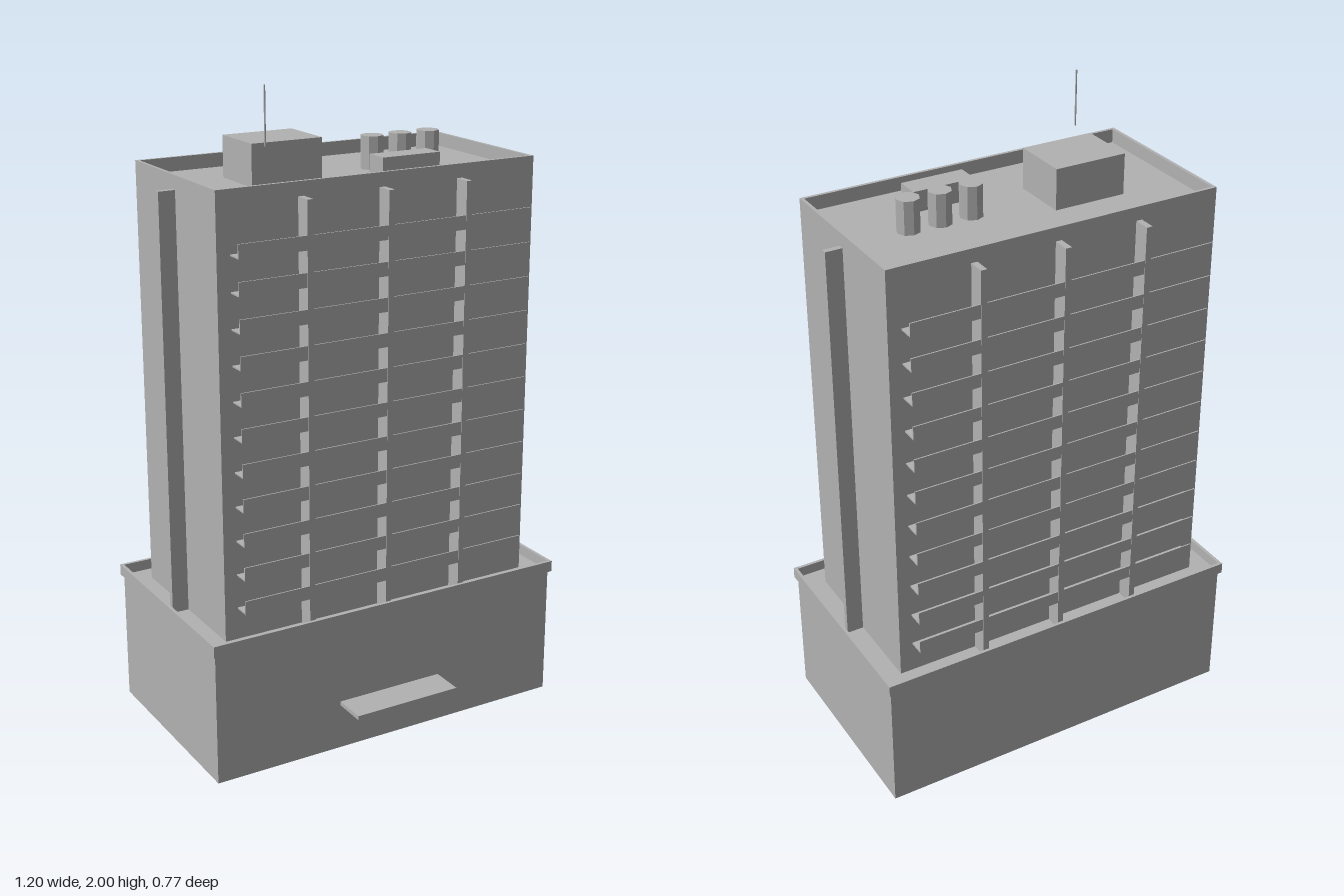
import * as THREE from 'three';

export function createModel() {
  const model = new THREE.Group();
  model.name = 'towerBlock';

  const concrete = new THREE.MeshStandardMaterial({ color: 0xb2b2b2, side: THREE.DoubleSide });
  concrete.name = 'concrete grey';

  const CZ = -0.0475; // depth of the building's centre line

  const add = (name, geometry, x, y, z, parent = model) => {
    const mesh = new THREE.Mesh(geometry, concrete);
    mesh.name = name;
    mesh.position.set(x, y, z);
    parent.add(mesh);
    return mesh;
  };

  // Box given by its limits on each axis
  const box = (name, x0, x1, y0, y1, z0, z1, parent) =>
    add(name, new THREE.BoxGeometry(x1 - x0, y1 - y0, z1 - z0),
      (x0 + x1) / 2, (y0 + y1) / 2, (z0 + z1) / 2, parent);

  // Box without its underside
  const shell = (name, hx, hz, y0, y1) => {
    const mesh = box(name, -hx, hx, y0, y1, CZ - hz, CZ + hz);
    const index = Array.from(mesh.geometry.index.array);
    index.splice(18, 6);
    mesh.geometry.setIndex(index);
    mesh.geometry.clearGroups();
  };

  // Rectangular ring wall
  const parapet = (name, hx, hz, t, y0, y1) => {
    const rect = (Type, a, b) => {
      const p = new Type();
      p.moveTo(-a, -b).lineTo(a, -b).lineTo(a, b).lineTo(-a, b).closePath();
      return p;
    };
    const outline = rect(THREE.Shape, hx, hz);
    outline.holes.push(rect(THREE.Path, hx - t, hz - t));
    const geometry = new THREE.ExtrudeGeometry(outline, { depth: y1 - y0, bevelEnabled: false });
    geometry.rotateX(-Math.PI / 2);
    add(name, geometry, 0, y0, CZ);
  };

  // Hollow podium with its rim and entrance canopy
  shell('podium', 0.592, 0.327, 0, 0.417);
  parapet('podiumRim', 0.6, 0.337, 0.01, 0.415, 0.45);
  box('entranceCanopy', -0.176, 0.176, 0.143, 0.156, 0.279, 0.385);

  // Tower body and roof parapet
  const ROOF = 1.705;
  shell('tower', 0.525, 0.2625, 0.417, ROOF);
  parapet('roofParapet', 0.525, 0.2625, 0.01, ROOF, 1.747);

  // Fins and balconies, the same on front and back
  for (const side of [1, -1]) {
    const facade = new THREE.Group();
    facade.name = side > 0 ? 'frontFacade' : 'backFacade';
    facade.position.z = CZ;
    facade.rotation.y = side > 0 ? 0 : Math.PI;
    model.add(facade);

    for (const x of [-0.2625, 0, 0.2625]) {
      box('fin', x - 0.0095, x + 0.0095, 0.417, ROOF, 0.2625, 0.3145, facade);
    }
    for (let i = 0; i < 11; i++) {
      const y = 0.513 + i * 0.105;
      box('balconySlab', -0.484, 0.484, y, y + 0.004, 0.2625, 0.312, facade);
      box('balconyRailing', -0.484, 0.484, y, y + 0.042, 0.309, 0.313, facade);
    }

    // Single fin on each end wall
    box(side > 0 ? 'leftFin' : 'rightFin',
      side > 0 ? 0.525 : -0.577, side > 0 ? 0.577 : -0.525, 0.417, ROOF, CZ - 0.009, CZ + 0.009);
  }

  // Roof equipment
  box('liftHouse', -0.325, -0.098, ROOF, 1.829, -0.138, 0.043);
  box('airHandler', 0.058, 0.254, ROOF, 1.768, 0.048, 0.122);
  for (const x of [0.124, 0.222, 0.321]) {
    const tank = new THREE.CylinderGeometry(0.035, 0.035, 0.1, 8).toNonIndexed();
    tank.computeVertexNormals();
    add('ventStack', tank, x, ROOF + 0.05, CZ);
  }
  add('antenna', new THREE.CylinderGeometry(0.0025, 0.0025, 0.17, 6), -0.317, 1.915, 0.111);

  return model;
}
